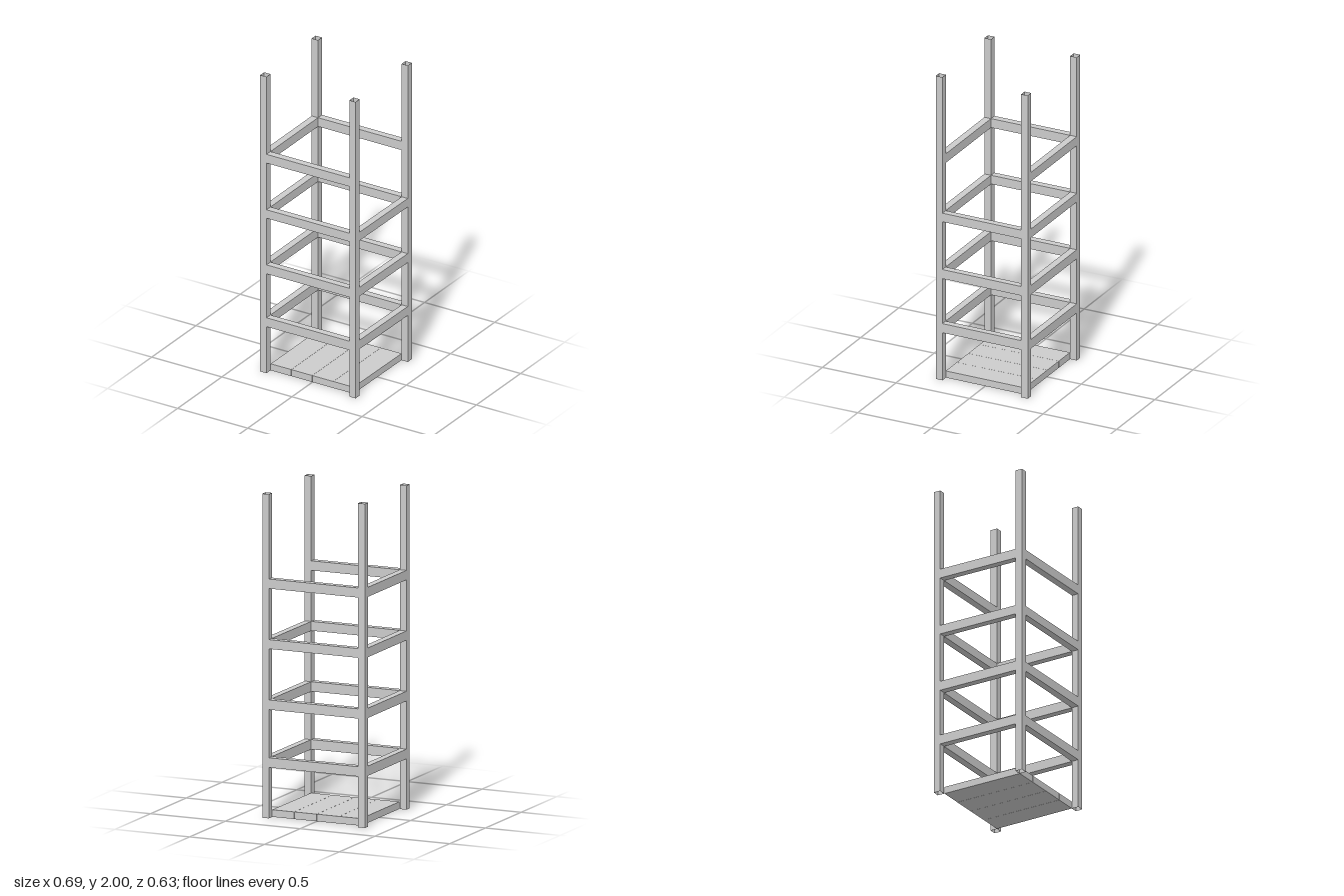
import * as THREE from 'three';

const material = new THREE.MeshStandardMaterial({ color: 0xcccccc, side: THREE.DoubleSide, flatShading: true });

// Outer and inner limits of the frame members
const X0 = -0.344, X1 = -0.299, X2 = 0.295, X3 = 0.339;
const Z_IN = 0.269, Z_OUT = 0.314;

// The +x side runs slightly out of square: it narrows toward the front
function skewRightSide(geometry) {
  const p = geometry.attributes.position;
  for (let i = 0; i < p.count; i++) {
    if (p.getX(i) > 0.25) p.setX(i, p.getX(i) - 0.0085 * p.getZ(i));
  }
  geometry.computeVertexNormals();
  return geometry;
}

function block(name, [xa, xb], [ya, yb], [za, zb], open = false) {
  const geometry = new THREE.BoxGeometry(xb - xa, yb - ya, zb - za);
  geometry.translate((xa + xb) / 2, (ya + yb) / 2, (za + zb) / 2);
  if (open) {
    // Drop the top and bottom faces to leave a hollow tube
    const index = Array.from(geometry.index.array);
    geometry.setIndex([...index.slice(0, 12), ...index.slice(24)]);
    geometry.clearGroups();
  }
  const mesh = new THREE.Mesh(skewRightSide(geometry), material);
  mesh.name = name;
  return mesh;
}

export function createModel() {
  const model = new THREE.Group();
  model.name = 'shelfFrame';

  const left = [X2, X3], right = [X0, X1];
  const front = [Z_IN, Z_OUT], back = [-Z_OUT, -Z_IN];
  const spanX = [X1, X2], spanZ = [-Z_IN, Z_IN];

  // Four hollow corner posts
  for (const [xn, x] of [['Left', left], ['Right', right]]) {
    for (const [zn, z] of [['front', front], ['back', back]]) {
      model.add(block(`${zn}${xn}Post`, x, [0, 2], z, true));
    }
  }

  // Rails on four levels; the top level is open on the +x side
  const levels = [[0.314, 0.374], [0.671, 0.731], [1.046, 1.103], [1.418, 1.477]];
  levels.forEach((y, i) => {
    const rails = new THREE.Group();
    rails.name = `railLevel${i + 1}`;
    rails.add(block('frontRail', spanX, y, front));
    rails.add(block('backRail', spanX, y, back));
    rails.add(block('rightRail', right, y, spanZ));
    if (i < 3) rails.add(block('leftRail', left, y, spanZ));
    model.add(rails);
  });

  // Floor of four planks running front to back
  const joints = [-0.297, -0.15, 0, 0.15, X2];
  for (let i = 0; i < 4; i++) {
    model.add(block(`floorPlank${i + 1}`, [joints[i], joints[i + 1] - (i < 3 ? 0.001 : 0)], [0.001, 0.045], spanZ));
  }
  return model;
}
